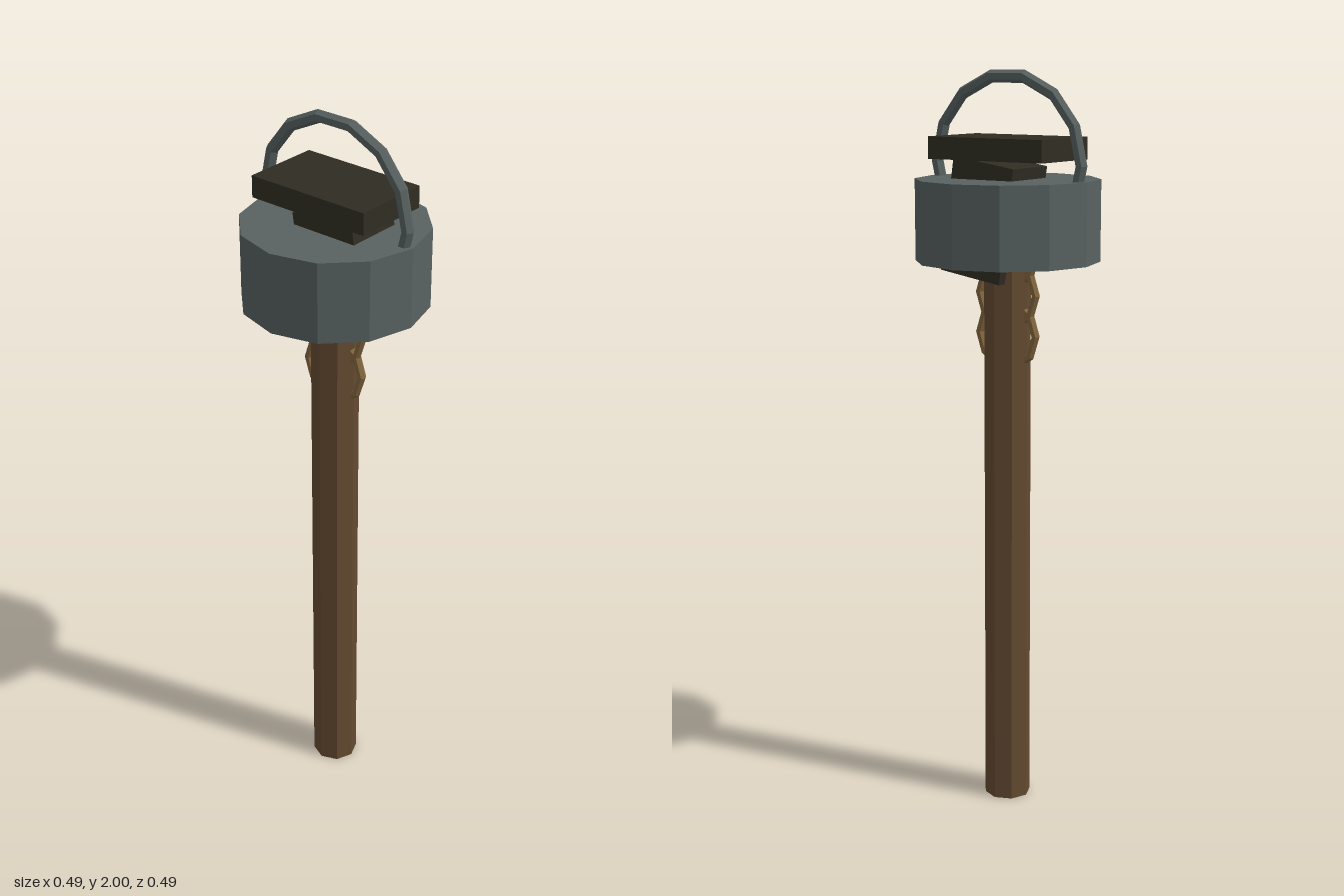
import * as THREE from 'three';

const flat = (name, color) => {
  const m = new THREE.MeshStandardMaterial({ color, flatShading: true });
  m.name = name;
  return m;
};

export function createModel() {
  const model = new THREE.Group();
  model.name = 'hammer';
  const iron = flat('grey iron', 0x586161);
  const wood = flat('brown wood', 0x644a31);
  const dark = flat('dark block', 0x2f2d22);
  const brass = flat('tan chain', 0x84683f);

  const add = (name, geometry, material, x, y) => {
    const mesh = new THREE.Mesh(geometry, material);
    mesh.name = name;
    mesh.position.set(x, y, 0);
    model.add(mesh);
    return mesh;
  };

  // eight-sided pole running up into the head
  add('pole', new THREE.CylinderGeometry(0.063, 0.063, 1.6, 8), wood, 0, 0.8);

  // twelve-sided drum head
  add('drum', new THREE.CylinderGeometry(0.245, 0.245, 0.215, 12), iron, 0, 1.613);

  // hoop handle, its lower half sunk in the drum
  add('hoop', new THREE.TorusGeometry(0.228, 0.017, 6, 14), iron, 0, 1.76);

  // flat block on top and the leaning block through the drum
  add('topBlock', new THREE.BoxGeometry(0.356, 0.058, 0.216), dark, 0, 1.8);
  const wedge = add('leaningBlock', new THREE.BoxGeometry(0.19, 0.304, 0.158), dark, 0.045, 1.615);
  wedge.rotation.z = THREE.MathUtils.degToRad(8.5);

  // chain links threaded through the pole
  for (let i = 0; i < 3; i++) {
    add('chainLink' + (i + 1), new THREE.TorusGeometry(0.09, 0.012, 6, 10), brass, 0, 1.31 + i * 0.108);
  }
  return model;
}
